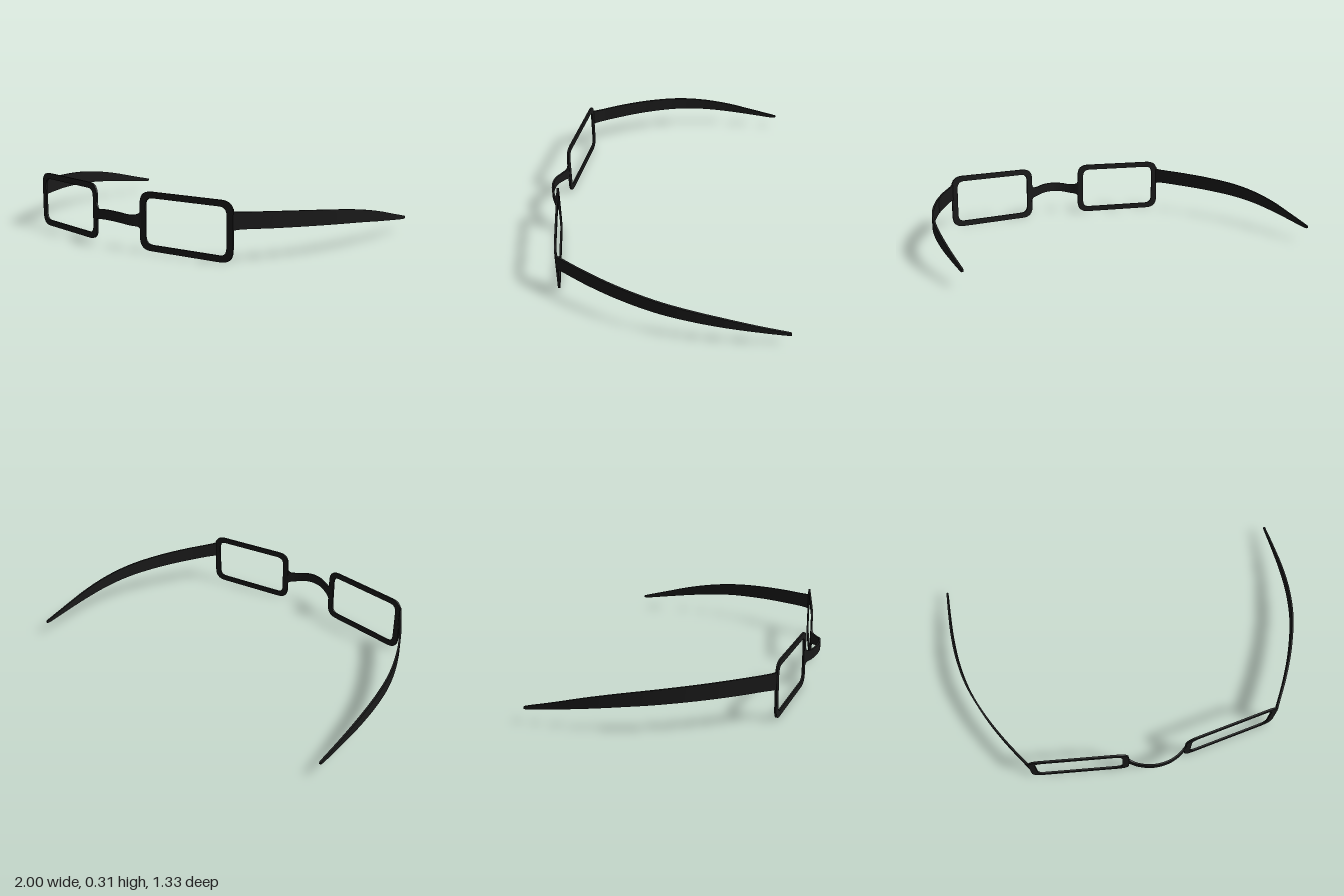
import * as THREE from 'three';
import { toCreasedNormals } from 'three/addons/utils/BufferGeometryUtils.js';

const THICK = 0.01;

// Rounded rectangle centred on the origin
function roundedRect(target, w, h, r) {
  const x = w / 2, y = h / 2;
  const c = r * 0.3; // control handles giving slightly square corners
  target.moveTo(-x + r, -y);
  target.lineTo(x - r, -y);
  target.bezierCurveTo(x - c, -y, x, -y + c, x, -y + r);
  target.lineTo(x, y - r);
  target.bezierCurveTo(x, y - c, x - c, y, x - r, y);
  target.lineTo(-x + r, y);
  target.bezierCurveTo(-x + c, y, -x, y - c, -x, y - r);
  target.lineTo(-x, -y + r);
  target.bezierCurveTo(-x, -y + c, -x + c, -y, -x + r, -y);
  return target;
}

// Upright strip swept through stations [x, z, bottom, top]
function ribbon(stations, steps) {
  const curve = (k) => new THREE.CatmullRomCurve3(
    stations.map((s) => new THREE.Vector3(s[0], s[k], s[1])), false, 'catmullrom', 0.5);
  const low = curve(2), high = curve(3);
  const pos = [], index = [];
  for (let i = 0; i <= steps; i++) {
    const a = low.getPoint(i / steps), b = high.getPoint(i / steps);
    const t = low.getTangent(i / steps);
    const len = Math.hypot(t.x, t.z);
    const nx = (-t.z / len) * THICK / 2, nz = (t.x / len) * THICK / 2;
    pos.push(a.x + nx, a.y, a.z + nz, b.x + nx, b.y, b.z + nz);
    pos.push(b.x - nx, b.y, b.z - nz, a.x - nx, a.y, a.z - nz);
    if (i === steps) break;
    for (let j = 0; j < 4; j++) {
      const p = i * 4 + j, q = i * 4 + (j + 1) % 4;
      index.push(p, p + 4, q + 4, p, q + 4, q);
    }
  }
  const e = steps * 4;
  index.push(0, 1, 2, 0, 2, 3, e, e + 2, e + 1, e, e + 3, e + 2);
  const geo = new THREE.BufferGeometry();
  geo.setAttribute('position', new THREE.Float32BufferAttribute(pos, 3));
  geo.setIndex(index);
  return toCreasedNormals(geo, 0.7);
}

const mirrored = (stations) => stations.map(([x, ...rest]) => [-x, ...rest]).reverse();

export function createModel() {
  const group = new THREE.Group();
  const black = new THREE.MeshStandardMaterial({ color: 0x1a1a1a });
  const add = (name, geometry) => {
    const mesh = new THREE.Mesh(geometry, black);
    mesh.name = name;
    group.add(mesh);
    return mesh;
  };

  // Lens rims, swept slightly back towards the temples
  const rimShape = roundedRect(new THREE.Shape(), 0.544, 0.306, 0.07);
  rimShape.holes.push(roundedRect(new THREE.Path(), 0.474, 0.242, 0.045));
  const rimGeo = new THREE.ExtrudeGeometry(rimShape, { depth: THICK, bevelEnabled: false, curveSegments: 10 });
  rimGeo.translate(0, 0, -THICK / 2);
  const rimSmooth = toCreasedNormals(rimGeo, 0.7);

  // Temple: flares at the hinge, curves back and tapers to the tip
  const temple = [
    [0.693, 0.522, 0.15, 0.272],
    [0.704, 0.505, 0.169, 0.256],
    [0.80, 0.345, 0.164, 0.247],
    [0.882, 0.18, 0.157, 0.237],
    [0.948, 0, 0.147, 0.222],
    [0.982, -0.17, 0.133, 0.200],
    [0.995, -0.34, 0.113, 0.168],
    [0.995, -0.50, 0.093, 0.129],
    [0.991, -0.63, 0.077, 0.098],
    [0.990, -0.664, 0.077, 0.089],
  ];

  for (const side of [1, -1]) {
    const label = side > 0 ? 'left' : 'right';
    const rim = add(label + 'Rim', rimSmooth);
    rim.position.set(side * 0.428, 0.155, 0.559);
    rim.rotation.y = side * 0.143;
    add(label + 'Temple', ribbon(side > 0 ? temple : mirrored(temple), 54));
  }

  // Nose bridge: bows forward and flares into both rims
  const half = [
    [-0.166, 0.596, 0.095, 0.226],
    [-0.152, 0.604, 0.119, 0.189],
    [-0.115, 0.629, 0.127, 0.182],
    [-0.06, 0.652, 0.138, 0.191],
  ];
  add('bridge', ribbon([...half, [0, 0.66, 0.142, 0.195], ...mirrored(half)], 48));

  return group;
}
